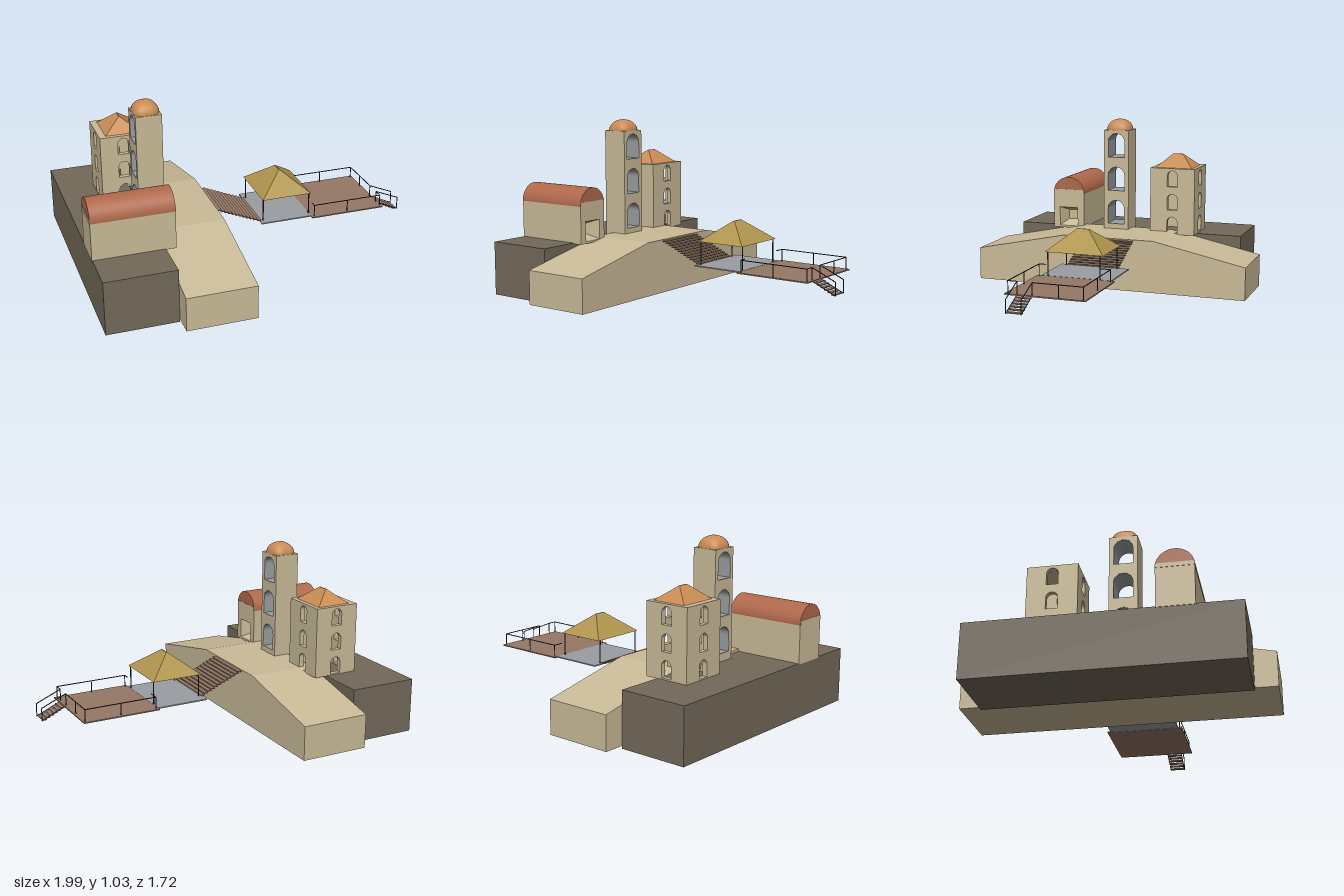
import * as THREE from 'three';

const mat = (name, color) => new THREE.MeshStandardMaterial({ name, color, side: THREE.DoubleSide });

export function createModel() {
  const root = new THREE.Group();
  const stone = mat('sandstone', 0xcabb98);
  const rock = mat('dark rock', 0x73695a);
  const tile = mat('terracotta tile', 0xb0694c);
  const copper = mat('copper roof', 0xca8c54);
  const straw = mat('straw roof', 0xb0954e);
  const wood = mat('deck wood', 0x977866);
  const grey = mat('grey slab', 0x9a9ea2);
  const iron = mat('dark iron', 0x34343a);

  const group = (name) => {
    const g = new THREE.Group();
    g.name = name;
    root.add(g);
    return g;
  };
  const add = (parent, name, geo, m, x = 0, y = 0, z = 0) => {
    const mesh = new THREE.Mesh(geo, m);
    mesh.name = name;
    mesh.position.set(x, y, z);
    parent.add(mesh);
    return mesh;
  };
  // box given by its min and max on each axis
  const box = (parent, name, m, x0, x1, y0, y1, z0, z1) =>
    add(parent, name, new THREE.BoxGeometry(x1 - x0, y1 - y0, z1 - z0), m, (x0 + x1) / 2, (y0 + y1) / 2, (z0 + z1) / 2);
  // thin round bar between two points
  const bar = (parent, name, a, b, r = 0.0028) => {
    const p = new THREE.Vector3(...a), d = new THREE.Vector3(...b).sub(p);
    const mesh = add(parent, name, new THREE.CylinderGeometry(r, r, d.length(), 6), iron);
    mesh.position.copy(p).addScaledVector(d, 0.5);
    mesh.quaternion.setFromUnitVectors(new THREE.Vector3(0, 1, 0), d.normalize());
  };
  // box whose top is narrowed: hip roofs and the tapered niche
  const tapered = (w, h, d, topW, topD, openBase = false) => {
    const g = new THREE.BoxGeometry(w, h, d), p = g.attributes.position;
    for (let i = 0; i < p.count; i++)
      if (p.getY(i) > 0) p.setXYZ(i, p.getX(i) * topW / w, h / 2, p.getZ(i) * topD / d);
    if (openBase) g.setIndex(Array.from(g.index.array).filter((_, i) => i < 18 || i >= 24));
    const flat = g.toNonIndexed();
    flat.computeVertexNormals();
    return flat;
  };
  // arched outline standing on y
  const arch = (C, y, w, h) => {
    const s = new C(), r = w / 2;
    s.moveTo(-r, y);
    s.lineTo(r, y);
    s.lineTo(r, y + h - r);
    s.absarc(0, y + h - r, r, 0, Math.PI, false);
    s.closePath();
    return s;
  };
  const rect = (C, w, y0, y1) => new C([[-w / 2, y0], [w / 2, y0], [w / 2, y1], [-w / 2, y1]].map(([x, y]) => new THREE.Vector2(x, y)));
  // slab centred on its thickness, facing z, or x when turned
  const slab = (shape, holes, depth, turned) => {
    shape.holes.push(...holes);
    const g = new THREE.ExtrudeGeometry(shape, { depth, bevelEnabled: false, curveSegments: 12 });
    g.translate(0, 0, -depth / 2);
    return turned ? g.rotateY(-Math.PI / 2) : g;
  };

  // rock base and sloping terrace
  box(root, 'rockBase', rock, -0.995, -0.585, 0, 0.32, -0.738, 0.735);
  const slope = new THREE.Shape([[-0.86, 0.015], [0.86, 0.015], [0.86, 0.215], [0.285, 0.335], [-0.29, 0.335], [-0.86, 0.215]]
    .map(([x, y]) => new THREE.Vector2(x, y)));
  add(root, 'terrace', slab(slope, [], 0.405, true), stone, -0.3825);

  // barrel-vaulted hall with a tapered niche in its front end
  const hall = group('vaultedHall'), hz = 0.386;
  box(hall, 'hallBody', stone, -0.998, -0.62, 0.315, 0.54, hz - 0.103, hz + 0.103);
  const niche = rect(THREE.Path, 0.122, 0.328, 0.448);
  add(hall, 'hallFront', slab(rect(THREE.Shape, 0.206, 0.315, 0.54), [niche], 0.095, true), stone, -0.5725, 0, hz);
  add(hall, 'niche', tapered(0.12, 0.09, 0.122, 0.06, 0.06, true).rotateZ(Math.PI / 2), stone, -0.57, 0.388, hz);
  add(hall, 'vaultRoof', new THREE.CylinderGeometry(0.105, 0.105, 0.473, 32, 1, false, 0, Math.PI).rotateZ(Math.PI / 2), tile, -0.7615, 0.54, hz);
  for (const x of [-0.998, -0.525])
    box(hall, 'gableBand', stone, x - 0.002, x + 0.002, 0.54, 0.565, hz - 0.101, hz + 0.101);

  // tall bell tower: three open arches with grey linings, round dome
  const bell = group('bellTower'), bx = -0.566, bz = 0.05;
  const bellRows = [0.365, 0.578, 0.79];
  add(bell, 'bellShaft', slab(rect(THREE.Shape, 0.162, 0.318, 0.963), bellRows.map((y) => arch(THREE.Path, y, 0.112, 0.154)), 0.152, true), stone, bx, 0, bz);
  for (const y of bellRows)
    add(bell, 'archLining', slab(arch(THREE.Shape, y, 0.112, 0.154), [arch(THREE.Path, y + 0.002, 0.108, 0.15)], 0.15, true), grey, bx, 0, bz);
  const dome = new THREE.SphereGeometry(1, 32, 12, 0, Math.PI * 2, 0, Math.PI / 2), dp = dome.attributes.position;
  for (let i = 0; i < dp.count; i++) {
    const x = dp.getX(i), z = dp.getZ(i), r = Math.hypot(x, z) || 1;
    const k = 1 / Math.cbrt(Math.abs(x / r) ** 3 + Math.abs(z / r) ** 3 || 1);
    dp.setXYZ(i, x * k * 0.076, dp.getY(i) * 0.067, z * k * 0.078);
  }
  dome.computeVertexNormals();
  add(bell, 'dome', dome, copper, bx, 0.963, bz);

  // square tower: windows on all four sides, hip roof
  const tower = group('squareTower'), tx = -0.647, tz = -0.313, t = 0.03;
  const windows = () => [0.328, 0.473, 0.62].map((y) => arch(THREE.Path, y, 0.066, 0.1));
  for (const s of [-1, 1]) {
    add(tower, 'windowWallX', slab(rect(THREE.Shape, 0.286, 0.318, 0.735), windows(), t, true), stone, tx + s * (0.1375 - t / 2), 0, tz);
    add(tower, 'windowWallZ', slab(rect(THREE.Shape, 0.275 - 2 * t, 0.318, 0.735), windows(), t, false), stone, tx, 0, tz + s * (0.143 - t / 2));
  }
  box(tower, 'towerTop', stone, tx - 0.11, tx + 0.11, 0.722, 0.7345, tz - 0.115, tz + 0.115);
  add(tower, 'hipRoof', tapered(0.21, 0.08, 0.236, 0.006, 0.064), copper, -0.64, 0.774, tz);

  // flights of open treads
  const flight = (name, n, x0, x1, y0, y1, z0, z1) => {
    const g = group(name), run = (x1 - x0) / n;
    for (let i = 0; i < n; i++) {
      const x = x0 + i * run, y = y0 + (y1 - y0) * i / (n - 1);
      box(g, 'tread', wood, x, x + run * 1.1, y - 0.006, y, z0, z1);
    }
    return g;
  };
  flight('mainStairs', 12, -0.18, 0.09, 0.328, 0.222, -0.165, 0.155);
  const low = flight('lowerStairs', 6, 0.855, 0.985, 0.206, 0.152, 0.06, 0.145);
  for (const z of [0.06, 0.147]) {
    bar(low, 'stairRail', [0.845, 0.285, z], [0.992, 0.222, z]);
    bar(low, 'stairString', [0.845, 0.212, z], [0.992, 0.147, z]);
    bar(low, 'stairPost', [0.992, 0.145, z], [0.992, 0.222, z]);
  }

  // pavilion on a grey slab
  const pav = group('pavilion');
  box(pav, 'pavilionFloor', grey, 0.085, 0.4, 0.21, 0.217, -0.227, 0.193);
  for (const x of [0.105, 0.395]) for (const z of [-0.16, 0.155])
    bar(pav, 'pavilionPost', [x, 0.215, z], [x, 0.357, z], 0.0035);
  add(pav, 'pavilionRoof', tapered(0.305, 0.118, 0.35, 0.006, 0.07), straw, 0.25, 0.413, -0.004);

  // lower deck with railing, open towards the pavilion and the lower stairs
  const deck = group('deck');
  box(deck, 'deckFloor', wood, 0.397, 0.858, 0.209, 0.216, -0.247, 0.217);
  const L = 0.415, R = 0.845, B = -0.23, F = 0.2, top = 0.285;
  const rails = [[L, B, R, B], [L, F, R, F], [R, B, R, 0.06], [R, 0.147, R, F], [L, B, L, -0.17], [L, 0.16, L, F]];
  for (const [xa, za, xb, zb] of rails) bar(deck, 'handrail', [xa, top, za], [xb, top, zb]);
  const posts = [[L, B], [0.63, B], [R, B], [L, F], [0.63, F], [R, F], [R, -0.09], [R, 0.06], [R, 0.147]];
  for (const [x, z] of posts) bar(deck, 'railPost', [x, 0.213, z], [x, top, z]);

  return root;
}
